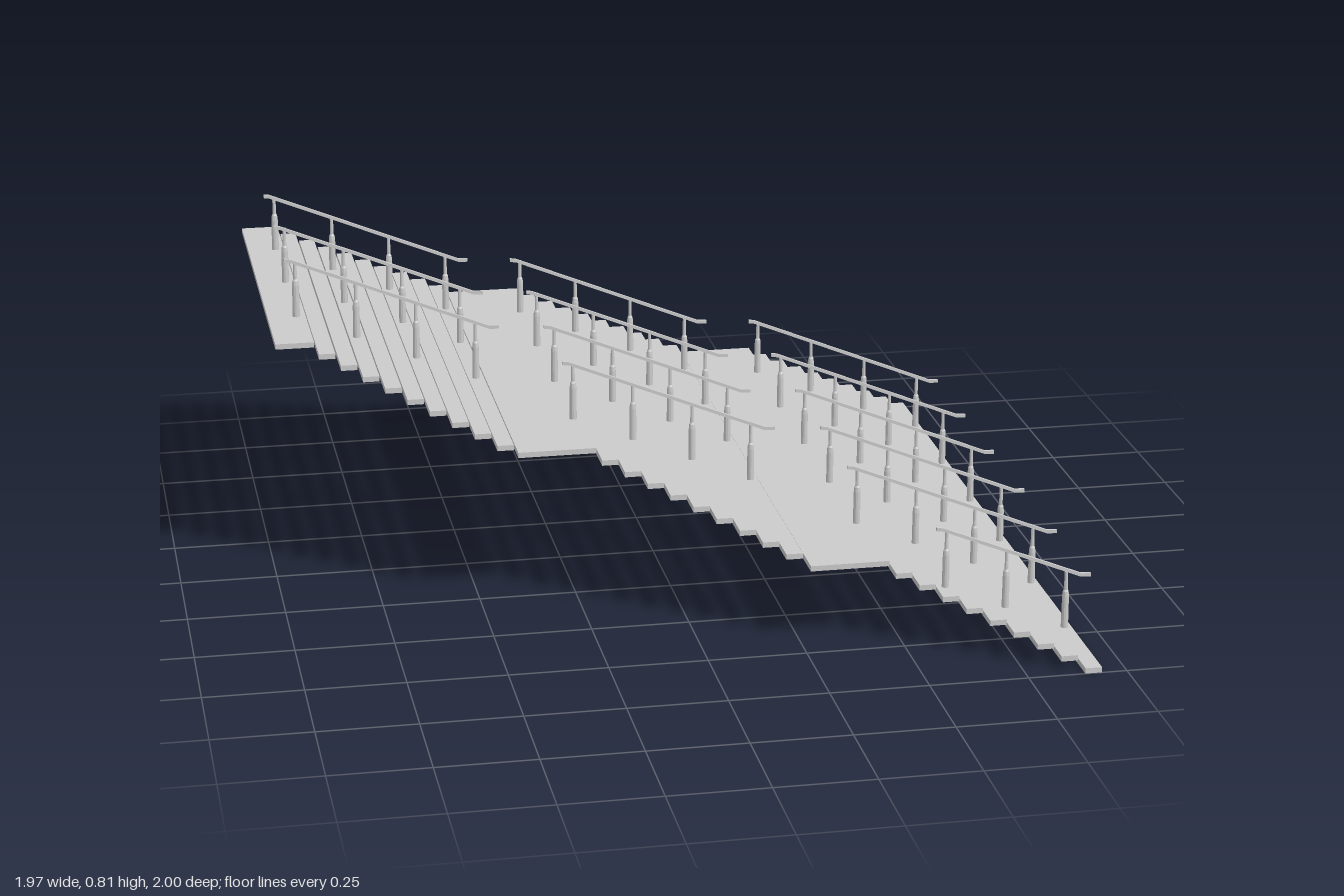
import * as THREE from 'three';

const RISE = 0.02207, GOING = 0.052, THICK = 0.014, TOP = 0.654;
const BACK = -1;

export function createModel() {
  const group = new THREE.Group();
  group.name = 'wideStaircase';
  const material = new THREE.MeshStandardMaterial({ color: 0xcccccc });

  const add = (name, geometry, x, y, z) => {
    const mesh = new THREE.Mesh(geometry, material);
    mesh.name = name;
    mesh.position.set(x, y, z);
    group.add(mesh);
  };
  // Height of the walking surface, counted in risers down from the top
  const surface = (level) => TOP - level * RISE;

  const slab = (name, x0, x1, level, front) =>
    add(name, new THREE.BoxGeometry(x1 - x0, THICK, front - BACK),
      (x0 + x1) / 2, surface(level) - THICK / 2, (front + BACK) / 2);

  // Each flight: a landing followed by nine treads, all reaching the back edge
  const flights = [
    { landing: [-0.987, -0.888], start: -0.88, front: 0.048, grow: 0.0345, firstPost: -0.912, rails: 3 },
    { landing: [-0.411, -0.211], start: -0.203, front: 0.3585, grow: 0.0345, firstPost: -0.233, rails: 4 },
    { landing: [0.268, 0.469], start: 0.478, front: 0.7035, grow: 0.0329, firstPost: 0.449, rails: 6 },
  ];

  // Turned baluster: thick lower sleeve, slim neck
  const postHeight = 0.15;
  const postGeometry = new THREE.LatheGeometry([
    [0, 0], [0.0095, 0], [0.0095, 0.004], [0.0088, 0.085], [0.0075, 0.097],
    [0.005, 0.102], [0.0045, postHeight], [0, postHeight],
  ].map(([r, y]) => new THREE.Vector2(r, y)), 12).toNonIndexed();
  postGeometry.computeVertexNormals();

  // Sloping handrail with short level ends, from post number `skip` onward
  const railGeometry = (skip) => {
    const h = 0.0045, slope = 0.21 / 0.517;
    const x0 = skip * 0.156;
    const yAt = (x) => 0.152 - (x + 0.012) * slope;
    const path = [
      [x0 - 0.028, yAt(x0 - 0.012) + 0.002], [x0 - 0.012, yAt(x0 - 0.012)],
      [0.505, yAt(0.505)], [0.531, yAt(0.505) - 0.001],
    ];
    const outline = [
      ...path.map(([x, y]) => new THREE.Vector2(x, y - h)),
      ...path.reverse().map(([x, y]) => new THREE.Vector2(x, y + h)),
    ];
    const geometry = new THREE.ExtrudeGeometry(new THREE.Shape(outline), {
      depth: 0.008, bevelEnabled: false,
    });
    return geometry.translate(0, 0, -0.004);
  };
  const fullRail = railGeometry(0), shortRail = railGeometry(1);

  flights.forEach((f, n) => {
    const level = n * 10;
    slab('landing', ...f.landing, level, f.front);
    for (let k = 1; k <= 9; k++) {
      const x = f.start + (k - 1) * GOING;
      slab('tread', x, x + 0.042, level + k, f.front + k * f.grow);
    }

    // Parallel rows of railing across the width of the flight
    for (let r = 0; r < f.rails; r++) {
      const z = -0.779 + r * 0.3036;
      const skip = r === 5 ? 1 : 0;
      add('handrail', skip ? shortRail : fullRail, f.firstPost, surface(level), z);
      for (let p = skip; p < 4; p++) {
        add('post', postGeometry, f.firstPost + p * 0.1563, surface(level + p * 3), z - 0.004);
      }
    }
  });

  return group;
}
